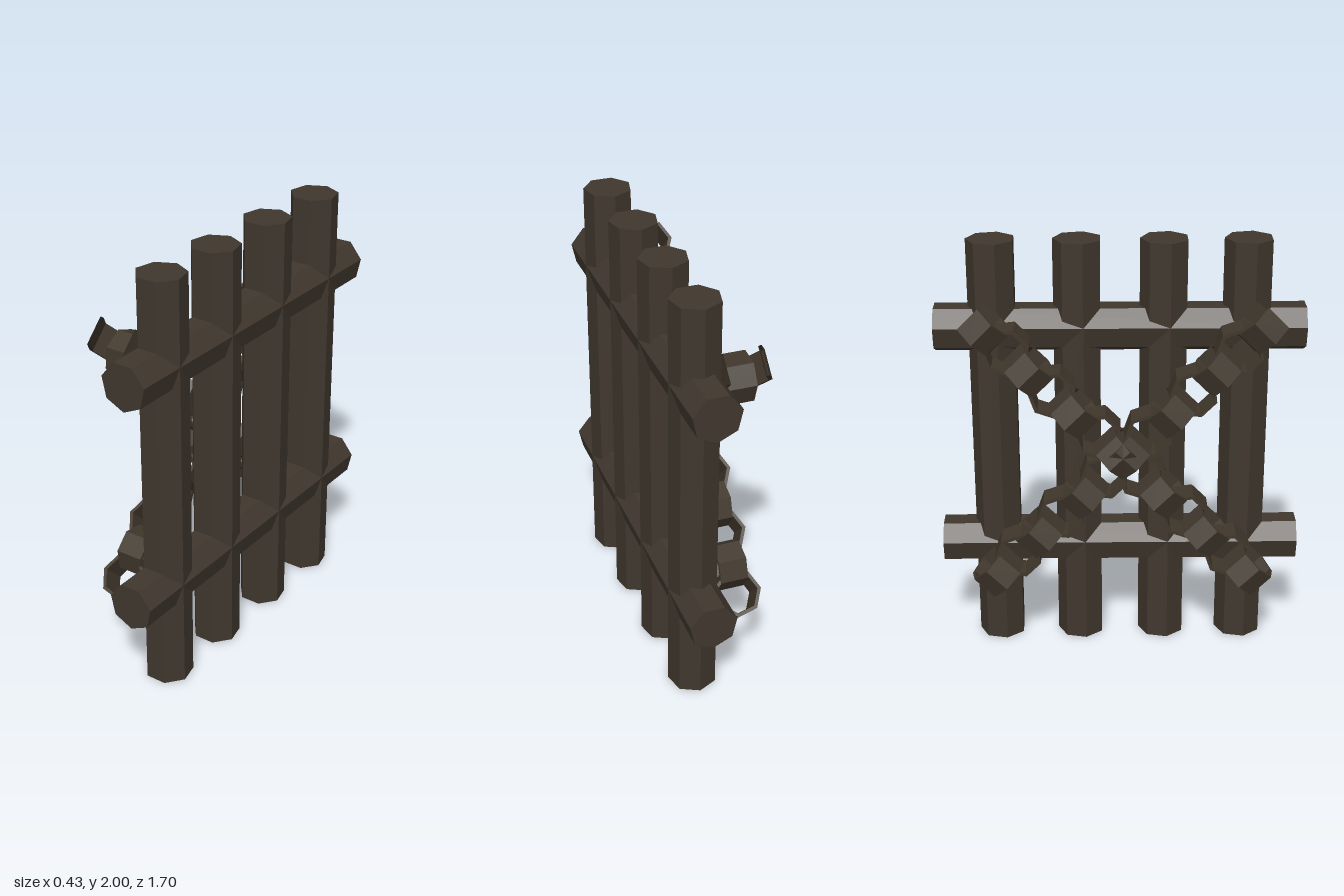
import * as THREE from 'three';

export function createModel() {
  const model = new THREE.Group();
  model.name = 'chainedGate';

  const barMat = new THREE.MeshStandardMaterial({ color: 0x40372e, flatShading: true });
  barMat.name = 'dark brown bar';
  const chainMat = new THREE.MeshStandardMaterial({ color: 0x40372b, flatShading: true, side: THREE.DoubleSide });
  chainMat.name = 'dark brown chain';

  // Seven-sided bars: four uprights and two crossbars
  const R = 0.113, barX = 0.103;
  const uprightGeo = new THREE.CylinderGeometry(R, R, 2, 7, 1, false, Math.PI);
  const crossGeo = new THREE.CylinderGeometry(R, R, 1.7, 7);
  [0.583, 0.203, -0.192, -0.582].forEach((z, i) => {
    const bar = new THREE.Mesh(uprightGeo, barMat);
    bar.name = `upright${i + 1}`;
    bar.position.set(barX, 1, z);
    model.add(bar);
  });
  [['lowerCrossbar', 0.5], ['upperCrossbar', 1.583]].forEach(([name, y]) => {
    const bar = new THREE.Mesh(crossGeo, barMat);
    bar.name = name;
    bar.position.set(barX, y, 0);
    bar.rotation.x = Math.PI / 2;
    model.add(bar);
  });

  // Chain links: seven-sided bands with a thin wall
  const outer = 0.112, inner = 0.095, half = 0.066, step = Math.PI * 2 / 7;
  const wall = [[outer, -half], [outer, half], [inner, half], [inner, -half], [outer, -half]]
    .map(([r, y]) => new THREE.Vector2(r, y));
  const linkGeo = (start, sides) => new THREE.LatheGeometry(wall, sides, start, sides * step);
  const flatLink = linkGeo(Math.PI, 7);
  const uprightLink = linkGeo(-Math.PI / 2, 7);
  const openLink = linkGeo(-Math.PI / 2 + 3 * step, 5); // broken link at the top end
  const count = 13, pitch = 0.1435;

  function addChain(name, tilt) {
    const chain = new THREE.Group();
    chain.name = name;
    for (let i = 0; i < count; i++) {
      const across = i % 2 === 0;
      const geo = i === count - 1 ? openLink : across ? uprightLink : flatLink;
      const link = new THREE.Mesh(geo, chainMat);
      link.name = `${name}Link${i + 1}`;
      link.position.set(across ? -0.1 : -0.097, -0.84 + i * pitch, 0);
      if (across) link.rotation.x = -Math.PI / 2;
      else link.rotation.z = -Math.PI / 2;
      chain.add(link);
    }
    chain.position.set(0, 1.025, 0.01);
    chain.rotation.x = tilt;
    model.add(chain);
  }
  addChain('fallingChain', -Math.PI / 4);
  addChain('risingChain', Math.PI / 4);

  return model;
}
